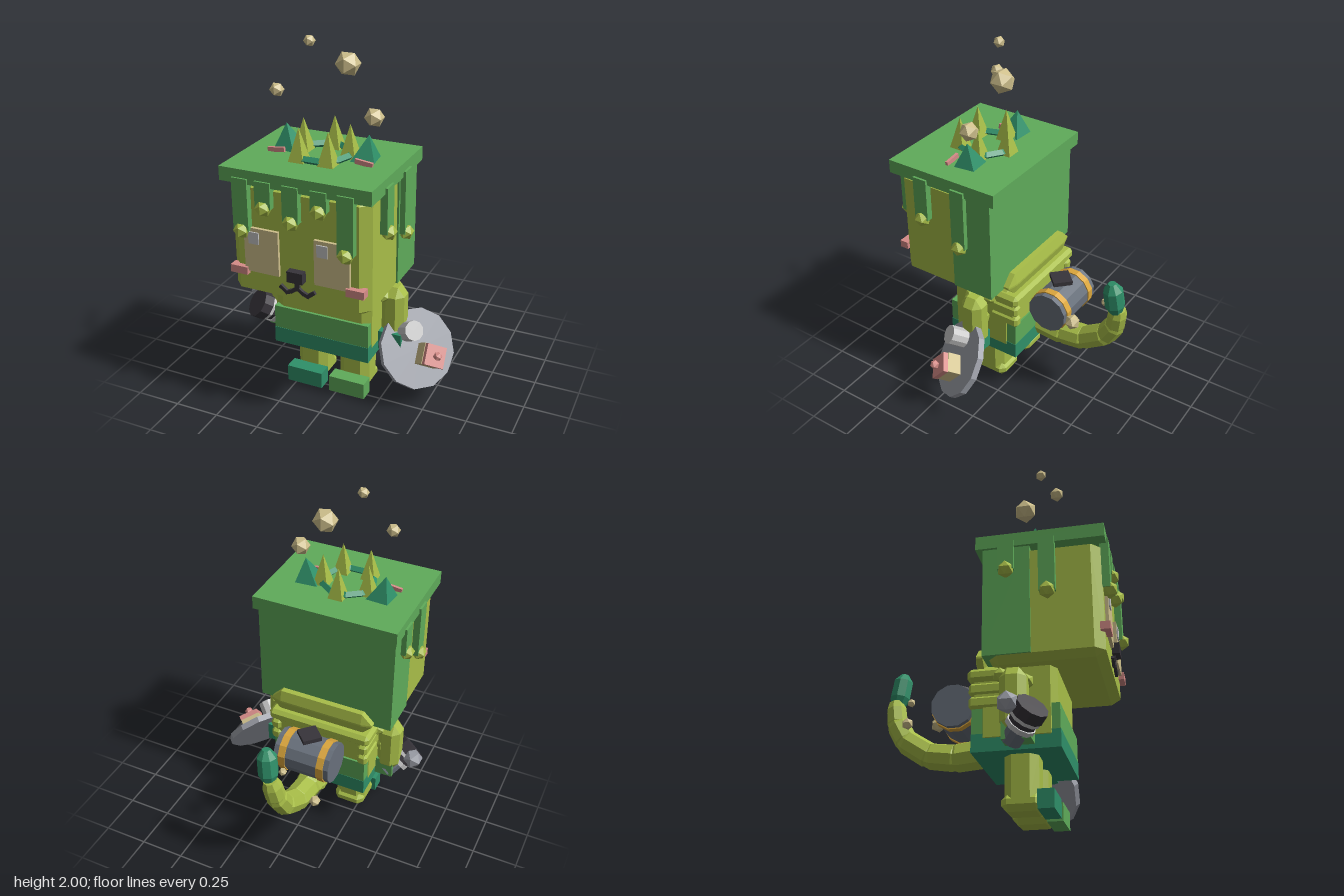
import * as THREE from 'three';
import { ConvexGeometry } from 'three/addons/geometries/ConvexGeometry.js';

const CX = -0.066; // body centre line

function material(name, color) {
  const m = new THREE.MeshStandardMaterial({ color, flatShading: true });
  m.name = name;
  return m;
}

export function createModel() {
  const root = new THREE.Group();
  root.name = 'character';
  const lime = material('lime', 0xa8be48), green = material('green', 0x5fab5a);
  const teal = material('teal', 0x2f9069), beige = material('beige', 0xcfc08c);
  const pink = material('pink', 0xd68c88), black = material('black', 0x37343a);
  const slate = material('slate', 0x68707b), gold = material('gold', 0xdba63c);
  const grey = material('grey', 0x9a9da6), pale = material('paleGrey', 0xc4c4c4);

  function add(name, mat, geo, x = 0, y = 0, z = 0) {
    const m = new THREE.Mesh(geo, mat);
    m.name = name;
    m.position.set(x, y, z);
    root.add(m);
    return m;
  }
  const mid = (r) => (r[0] + r[1]) / 2, len = (r) => r[1] - r[0];
  // plain box from its ranges
  const box = (name, mat, X, Y, Z) =>
    add(name, mat, new THREE.BoxGeometry(len(X), len(Y), len(Z)), mid(X), mid(Y), mid(Z));
  // box with chamfered edges
  function chamfer(name, mat, X, Y, Z, bx, by = bx, bz = bx) {
    const w = len(X) / 2, h = len(Y) / 2, d = len(Z) / 2, pts = [];
    for (const i of [-1, 1]) for (const j of [-1, 1]) for (const k of [-1, 1]) {
      pts.push(new THREE.Vector3(i * w, j * (h - by), k * (d - bz)),
        new THREE.Vector3(i * (w - bx), j * h, k * (d - bz)),
        new THREE.Vector3(i * (w - bx), j * (h - by), k * d));
    }
    return add(name, mat, new ConvexGeometry(pts), mid(X), mid(Y), mid(Z));
  }
  const ball = (name, mat, r, x, y, z) => add(name, mat, new THREE.IcosahedronGeometry(r, 0), x, y, z);
  // mirror a range across the body centre line
  const mirror = (r) => [2 * CX - r[1], 2 * CX - r[0]];
  const both = (X, fn) => { fn(X, 1); fn(mirror(X), -1); };

  // Head and hair
  chamfer('head', lime, [-0.45, 0.318], [0.7, 1.33], [0, 0.58], 0.05, 0.03, 0.05);
  box('backHair', green, [-0.46, 0.328], [0.73, 1.36], [-0.024, 0.22]);
  box('hairTop', green, [-0.476, 0.343], [1.325, 1.4], [-0.06, 0.607]);

  const fringe = [[-0.36, 1.075], [-0.232, 1.215], [-0.082, 1.165], [0.07, 1.25], [0.21, 1.045]];
  for (const [x, y] of fringe) {
    box('fringeStrand', green, [x - 0.043, x + 0.043], [y, 1.355], [0.57, 0.617]);
    ball('fringeBud', lime, 0.045, x, y, 0.608);
  }
  const sides = [[1, 0.4, 1.11], [1, 0.163, 1.01], [-1, 0.1, 1.19], [-1, 0.31, 1.05]];
  for (const [s, z, y] of sides) {
    const x = CX + s * 0.4;
    box('sideStrand', green, [x - 0.022, x + 0.022], [y, 1.355], [z - 0.042, z + 0.042]);
    ball('sideBud', lime, 0.045, x + s * 0.012, y, z);
  }

  // Face
  both([0.033, 0.225], (X) => box('eye', beige, X, [0.845, 1.09], [0.57, 0.597]));
  for (const x of [-0.3, 0.08]) box('eyeGlint', pale, [x - 0.029, x + 0.029], [1.005, 1.07], [0.59, 0.604]);
  both([0.208, 0.306], (X) => box('cheek', pink, X, [0.825, 0.867], [0.56, 0.61]));
  box('nose', black, [CX - 0.044, CX + 0.044], [0.84, 0.9], [0.57, 0.62]);
  box('lip', black, [CX - 0.013, CX + 0.013], [0.785, 0.85], [0.57, 0.596]);
  for (const s of [-1, 1]) {
    for (const [x, y, a] of [[0.022, 0.783, -0.65], [0.047, 0.77, -0.4], [0.08, 0.782, 0.65]]) {
      add('mouth', black, new THREE.BoxGeometry(0.044, 0.02, 0.026), CX + s * x, y, 0.583).rotation.z = s * a;
    }
  }

  // Crown ring, spikes and ears
  const ring = add('crownRing', teal, new THREE.TorusGeometry(0.138, 0.021, 4, 10), CX, 1.415, 0.27);
  ring.rotation.x = Math.PI / 2;
  const spikeGeo = new THREE.ConeGeometry(0.06, 0.175, 4).rotateY(Math.PI / 4);
  for (let i = 0; i < 5; i++) {
    const a = i * Math.PI * 0.4;
    add('crownSpike', lime, spikeGeo, CX + 0.137 * Math.sin(a), 1.485, 0.27 - 0.137 * Math.cos(a));
  }
  for (const s of [-1, 1]) {
    const ear = add('ear', teal, new THREE.ConeGeometry(0.1, 0.15, 4).rotateY(Math.PI / 4),
      CX + s * 0.222, 1.455, 0.225);
    ear.rotation.set(0, s * 0.12, -s * 0.12);
    add('innerEar', pink, new THREE.BoxGeometry(0.095, 0.025, 0.016), CX + s * 0.243, 1.413, 0.317)
      .rotation.z = -s * 0.12;
  }

  // Torso, tunic and back pack
  chamfer('torso', lime, [-0.35, 0.218], [0.3, 0.75], [-0.07, 0.325], 0.05, 0.05, 0.03);
  box('tunic', green, [-0.345, 0.213], [0.37, 0.503], [-0.1, 0.34]);
  box('tunicHem', teal, [-0.347, 0.215], [0.278, 0.37], [-0.102, 0.342]);
  chamfer('packPanel', lime, [-0.35, 0.218], [0.5, 0.71], [-0.1, 0], 0.015);
  chamfer('packRim', lime, [-0.37, 0.238], [0.7, 0.83], [-0.09, -0.027], 0.06, 0.06, 0.015);
  chamfer('packLip', lime, [-0.37, 0.238], [0.64, 0.71], [-0.122, 0.05], 0.02);
  both([0.17, 0.228], (X) => {
    for (const y of [0.5, 0.57]) chamfer('packSlat', lime, X, [y, y + 0.065], [-0.115, 0.06], 0.014);
  });

  // Arms, cuffs and buds
  both([0.213, 0.345], (X, s) => {
    chamfer('arm', lime, X, [0.34, 0.665], [0.06, 0.195], 0.038, 0.05, 0.038);
    for (const [x, y, z] of [[0.302, 0.615, 0.18], [0.31, 0.51, 0.095], [0.3, 0.66, 0.05]]) {
      ball('armBud', lime, 0.04, CX + s * x, y, z);
    }
    box('cuff', s > 0 ? teal : green, s > 0 ? [0.22, 0.35] : [-0.45, -0.335], [0.3, 0.41], [0.07, 0.215]);
  });

  // Legs and boots
  both([-0.026, 0.153], (X, s) => {
    chamfer('leg', lime, X, [0.03, 0.31], [0.045, 0.215], 0.04, 0.02, 0.04);
    chamfer('foot', lime, X, [0.003, 0.09], [0.03, 0.23], 0.03);
    box('boot', s > 0 ? green : teal, [X[0] - 0.017, X[1] + 0.017], [0, 0.095], [0.213, 0.295]);
  });

  // Segmented tail with a leafy tip
  const UP = new THREE.Vector3(0, 1, 0);
  function segment(name, mat, a, b, r, endScale = 0.7) {
    const A = new THREE.Vector3(...a), d = new THREE.Vector3(...b).sub(A), L = d.length(), e = 0.035;
    const profile = [[0, -e], [r * 0.65, -e], [r, 0.01], [r * 0.97, L - 0.01], [r * endScale, L + e], [0, L + e]]
      .map((p) => new THREE.Vector2(...p));
    const m = add(name, mat, new THREE.LatheGeometry(profile, 8), ...a);
    m.quaternion.setFromUnitVectors(UP, d.normalize());
  }
  const path = [[CX, 0.365, -0.07], [CX, 0.348, -0.25], [-0.06, 0.37, -0.39], [-0.055, 0.46, -0.525],
    [-0.045, 0.56, -0.583], [-0.03, 0.66, -0.6]];
  for (let i = 0; i < 5; i++) segment('tailSegment', lime, path[i], path[i + 1], 0.08 - i * 0.006);
  segment('tailTip', teal, [-0.01, 0.715, -0.592], [0.004, 0.835, -0.578], 0.056, 0.4);

  // Keg on the back
  const keg = (name, mat, r, w, x) =>
    add(name, mat, new THREE.CylinderGeometry(r, r, w, 12).rotateY(Math.PI / 12).rotateZ(Math.PI / 2), x, 0.577, -0.23);
  keg('keg', slate, 0.115, 0.328, CX);
  for (const s of [-1, 1]) keg('kegBand', gold, 0.121, 0.04, CX + s * 0.114);
  add('kegPlate', black, new THREE.BoxGeometry(0.107, 0.025, 0.107), CX, 0.709, -0.22).rotation.y = Math.PI / 4;

  // Round shield in the left hand, all parts facing along one axis
  const facing = new THREE.Vector3(0.65, 0.5, 0.53).normalize();
  const turn = new THREE.Quaternion().setFromUnitVectors(UP, facing);
  const onShield = (name, mat, geo, x, y, z) => add(name, mat, geo, x, y, z).quaternion.copy(turn);
  onShield('shield', grey, new THREE.CylinderGeometry(0.222, 0.222, 0.035, 12), 0.415, 0.305, 0.135);
  onShield('shieldBlock', beige, new THREE.BoxGeometry(0.115, 0.1, 0.115).rotateY(0.4), 0.49, 0.285, 0.15);
  onShield('shieldPad', pink, new THREE.BoxGeometry(0.115, 0.03, 0.115).rotateY(0.4), 0.535, 0.315, 0.185);
  onShield('shieldBolt', pale, new THREE.CylinderGeometry(0.055, 0.055, 0.1, 10), 0.39, 0.43, 0.175);
  ball('shieldStud', pink, 0.026, 0.56, 0.332, 0.205);

  // Hand tool in the right hand
  const aim = new THREE.Vector3(-0.55, 0.55, 0.6).normalize();
  for (const [name, mat, r, w, t] of [['toolGrip', slate, 0.055, 0.1, -0.09], ['toolBand', pale, 0.078, 0.025, -0.04],
    ['toolNeck', black, 0.07, 0.03, -0.015], ['toolBand', pale, 0.08, 0.02, 0.01], ['toolHead', black, 0.085, 0.06, 0.05]]) {
    add(name, mat, new THREE.CylinderGeometry(r, r, w, 10), -0.47 + aim.x * t, 0.385 + aim.y * t, 0.19 + aim.z * t)
      .quaternion.setFromUnitVectors(UP, aim);
  }
  ball('toolKnob', grey, 0.056, -0.555, 0.44, 0.125);

  // Floating motes
  const motes = [[-0.15, 1.97, 0.235, 0.031], [0, 1.842, 0.113, 0.067], [-0.28, 1.738, 0.342, 0.038],
    [0.18, 1.612, 0.197, 0.052], [-0.217, 0.5, -0.47, 0.031], [0.114, 0.607, -0.405, 0.043], [-0.05, 0.68, -0.51, 0.023]];
  for (const [x, y, z, r] of motes) ball('mote', beige, r, x, y, z);

  return root;
}
